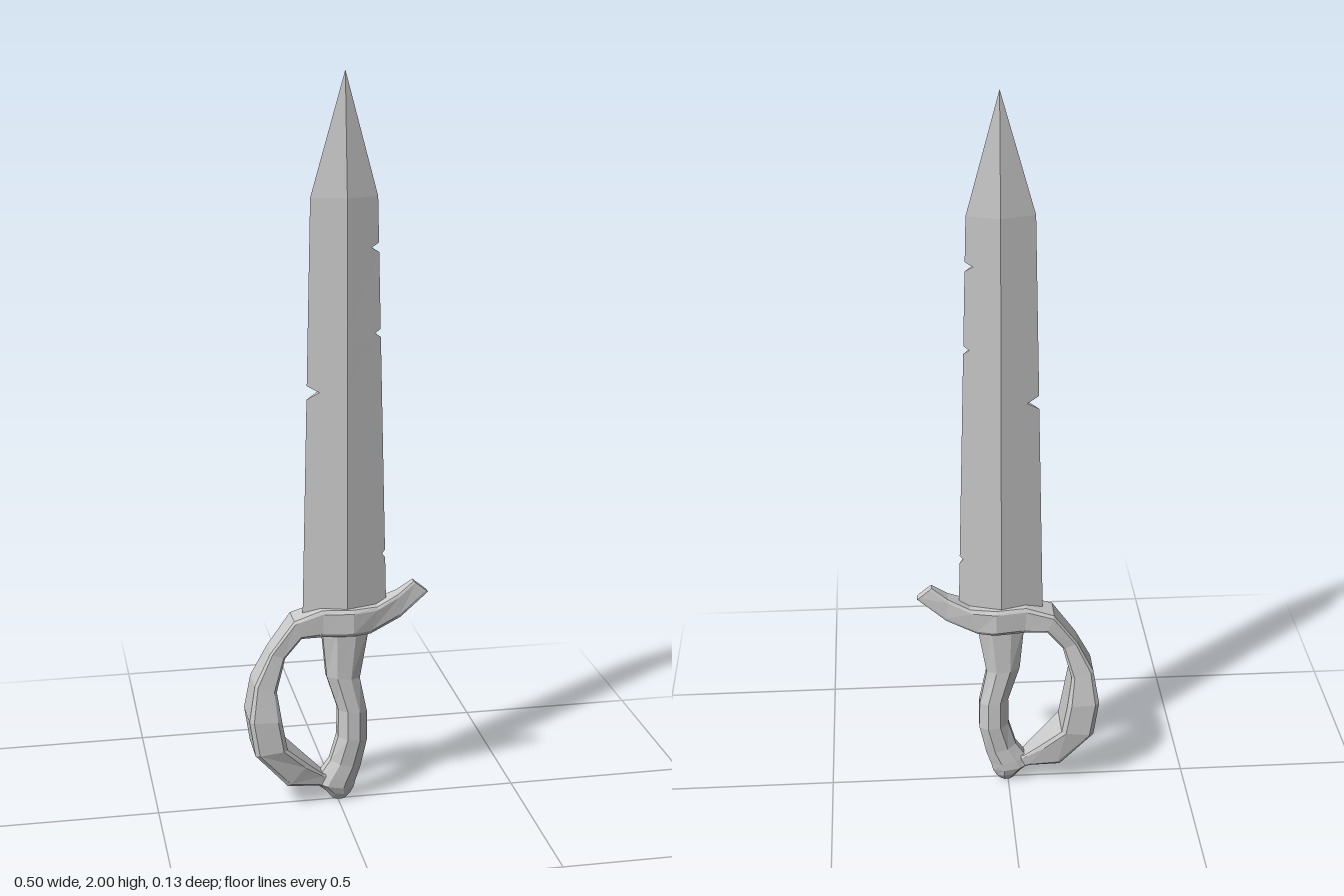
import * as THREE from 'three';

const material = new THREE.MeshStandardMaterial({ color: 0xcccccc, flatShading: true, side: THREE.DoubleSide });
const Z = -0.004; // depth of the centre plane

// Skin a list of closed rings (arrays of [x, y, z]) and cap both ends
function loft(name, rings) {
  const pos = [];
  const tri = (a, b, c) => pos.push(...a, ...b, ...c);
  const n = rings[0].length;
  for (let i = 0; i < rings.length - 1; i++) {
    for (let j = 0; j < n; j++) {
      const k = (j + 1) % n, a = rings[i], b = rings[i + 1];
      tri(a[j], a[k], b[k]);
      tri(a[j], b[k], b[j]);
    }
  }
  const first = rings[0], last = rings[rings.length - 1];
  for (let j = 1; j < n - 1; j++) {
    tri(first[0], first[j + 1], first[j]);
    tri(last[0], last[j], last[j + 1]);
  }
  // Turn all faces outward using the signed volume
  let volume = 0;
  const p = new THREE.Vector3(), q = new THREE.Vector3(), r = new THREE.Vector3();
  for (let i = 0; i < pos.length; i += 9) {
    volume += p.fromArray(pos, i).dot(q.fromArray(pos, i + 3).cross(r.fromArray(pos, i + 6)));
  }
  if (volume < 0) {
    for (let i = 0; i < pos.length; i += 9) {
      for (let c = 0; c < 3; c++) [pos[i + 3 + c], pos[i + 6 + c]] = [pos[i + 6 + c], pos[i + 3 + c]];
    }
  }
  const geometry = new THREE.BufferGeometry();
  geometry.setAttribute('position', new THREE.Float32BufferAttribute(pos, 3));
  geometry.computeVertexNormals();
  const mesh = new THREE.Mesh(geometry, material);
  mesh.name = name;
  return mesh;
}

// Bevelled rectangular ring spanning outer point to inner point, half depth h
function bevelRing([ox, oy, ix, iy, h]) {
  const at = (t, z) => [ox + (ix - ox) * t, oy + (iy - oy) * t, Z + z];
  const b = 0.13, s = h * 0.86;
  return [at(0, s), at(b, h), at(1 - b, h), at(1, s), at(1, -s), at(1 - b, -h), at(b, -h), at(0, -s)];
}

// Diamond-section blade with nicked edges
function blade() {
  const bottom = 0.55, shoulder = 1.68, ridgeX = 0.02;
  // side, lower y, apex y, upper y, depth
  const nicks = [
    [1, 0.70, 0.712, 0.722, 0.009],
    [-1, 1.15, 1.17, 1.187, 0.032],
    [1, 1.31, 1.322, 1.332, 0.016],
    [1, 1.535, 1.548, 1.56, 0.021],
  ];
  const rows = [[bottom, 0, 0]];
  for (const [side, y0, y1, y2, d] of nicks) rows.push([y0, 0, 0], [y1, side, d], [y2, 0, 0]);
  rows.push([shoulder, 0, 0]);
  const rings = rows.map(([y, side, d]) => {
    const t = (y - bottom) / (shoulder - bottom);
    const left = THREE.MathUtils.lerp(-0.096, -0.071, t), right = THREE.MathUtils.lerp(0.135, 0.106, t);
    const h = THREE.MathUtils.lerp(0.037, 0.029, t);
    const dl = side < 0 ? d : 0, dr = side > 0 ? d : 0;
    const zl = h * dl / (ridgeX - left), zr = h * dr / (right - ridgeX);
    return [
      [left + dl, y, Z + zl], [ridgeX, y, Z + h], [right - dr, y, Z + zr],
      [right - dr, y, Z - zr], [ridgeX, y, Z - h], [left + dl, y, Z - zl],
    ];
  });
  rings.push(Array.from({ length: 6 }, () => [ridgeX, 2, Z]));
  return loft('blade', rings);
}

// Crossguard that curls down into the knuckle bow: outer x, y, inner x, y, half depth
function guard() {
  const stations = [
    [0.209, 0.63, 0.249, 0.597, 0.012],
    [0.165, 0.598, 0.17, 0.532, 0.022],
    [0.105, 0.571, 0.085, 0.495, 0.037],
    [0.035, 0.571, 0.035, 0.495, 0.053],
    [-0.048, 0.571, -0.045, 0.495, 0.04],
    [-0.125, 0.546, -0.105, 0.495, 0.043],
    [-0.19, 0.457, -0.15, 0.44, 0.038],
    [-0.235, 0.37, -0.175, 0.348, 0.05],
    [-0.252, 0.27, -0.163, 0.265, 0.063],
    [-0.237, 0.17, -0.148, 0.18, 0.063],
    [-0.145, 0.064, -0.09, 0.126, 0.043],
    [-0.06, 0.052, -0.045, 0.085, 0.026],
    [-0.015, 0.035, -0.015, 0.075, 0.018],
  ];
  return loft('guardAndKnuckleBow', stations.map(bevelRing));
}

// Curved eight-sided grip ending in a small pommel: y left, y right, x left, x right, half depth
function grip() {
  const stations = [
    [0.51, 0.51, -0.045, 0.086, 0.03],
    [0.37, 0.36, -0.032, 0.06, 0.029],
    [0.27, 0.26, 0, 0.08, 0.034],
    [0.19, 0.18, -0.001, 0.081, 0.036],
    [0.12, 0.095, -0.022, 0.062, 0.031],
    [0.08, 0.055, -0.05, 0.048, 0.033],
    [0.055, 0.035, -0.065, 0.043, 0.033],
    [0.03, 0.016, -0.035, 0.033, 0.026],
    [0.003, 0.0, -0.015, 0.02, 0.013],
  ];
  return loft('gripAndPommel', stations.map(([yl, yr, xl, xr, h]) =>
    Array.from({ length: 8 }, (_, i) => {
      const a = (i + 0.5) * Math.PI / 4, k = 1 / Math.cos(Math.PI / 8);
      const u = 0.5 + 0.5 * k * Math.cos(a);
      return [xl + (xr - xl) * u, yl + (yr - yl) * u, Z + h * k * Math.sin(a)];
    })));
}

export function createModel() {
  const group = new THREE.Group();
  group.name = 'sword';
  group.add(blade(), guard(), grip());
  return group;
}
